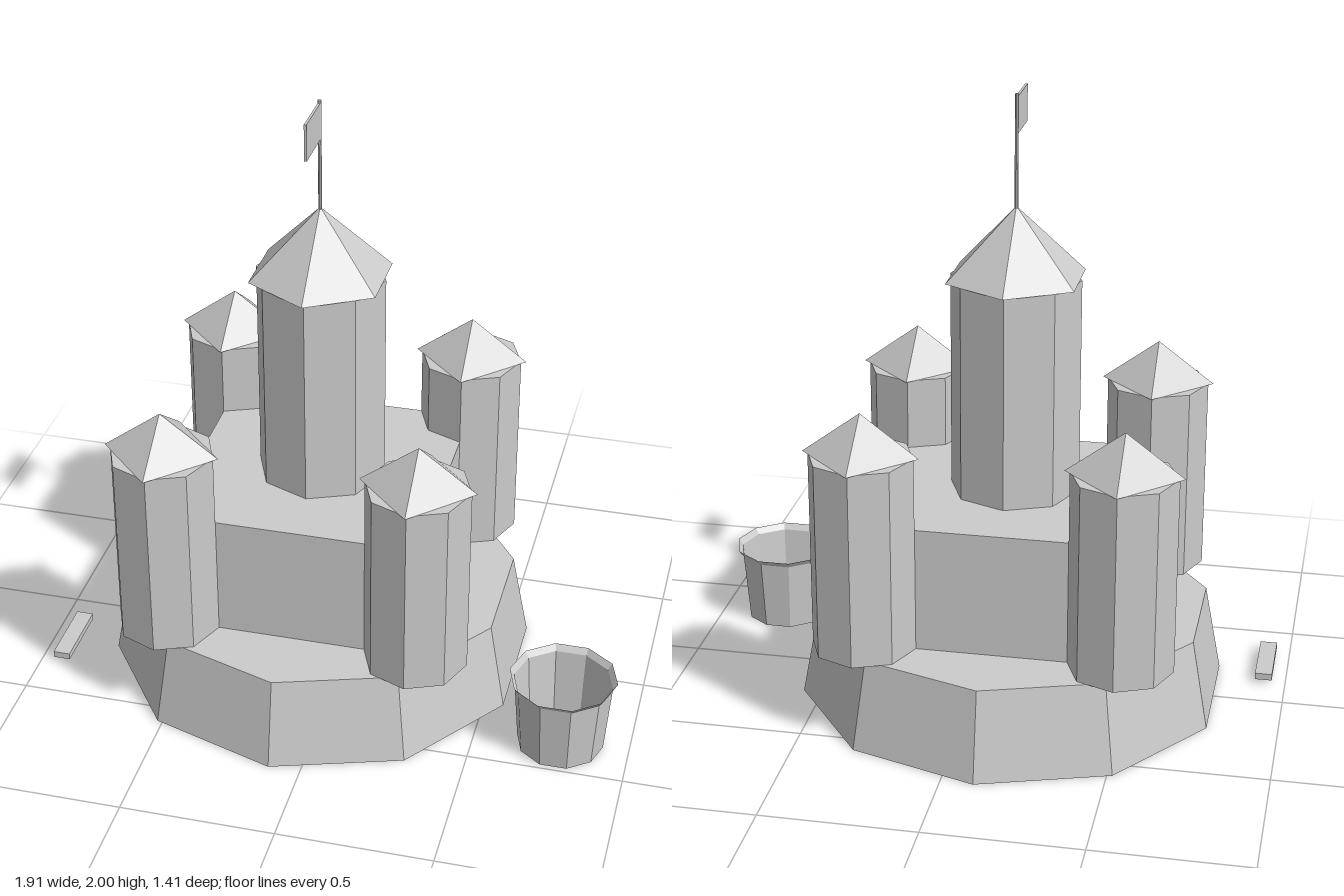
import * as THREE from 'three';

export function createModel() {
  const model = new THREE.Group();
  model.name = 'sandcastleScene';

  const grey = new THREE.MeshStandardMaterial({ color: 0xcccccc, flatShading: true, side: THREE.DoubleSide });
  grey.name = 'plain grey';

  function add(parent, name, geometry, x, y, z) {
    const mesh = new THREE.Mesh(geometry, grey);
    mesh.name = name;
    mesh.position.set(x, y, z);
    parent.add(mesh);
    return mesh;
  }

  // Prism, frustum or cone standing between two heights
  function column(parent, name, rTop, rBottom, y0, y1, sides, x = 0, z = 0) {
    const geometry = new THREE.CylinderGeometry(rTop, rBottom, y1 - y0, sides);
    return add(parent, name, geometry, x, (y0 + y1) / 2, z);
  }

  // Castle: ten-sided mound with a square keep on it
  const castle = new THREE.Group();
  castle.name = 'castle';
  castle.position.x = -0.104;
  model.add(castle);
  column(castle, 'mound', 0.647, 0.703, 0, 0.295, 10);
  add(castle, 'keep', new THREE.BoxGeometry(0.82, 0.41, 0.82), 0, 0.5, 0);

  // Octagonal corner towers with four-sided roofs
  for (const sx of [-1, 1]) {
    for (const sz of [-1, 1]) {
      const tower = new THREE.Group();
      tower.name = (sz > 0 ? 'front' : 'back') + (sx > 0 ? 'Left' : 'Right') + 'Tower';
      tower.position.set(sx * 0.41, 0, sz * 0.41);
      castle.add(tower);
      column(tower, 'towerWall', 0.168, 0.168, 0.295, 0.945, 8);
      column(tower, 'towerRoof', 0, 0.185, 0.945, 1.083, 4);
    }
  }

  // Central tower with a six-sided roof
  column(castle, 'centralTower', 0.21, 0.21, 0.705, 1.415, 8);
  column(castle, 'centralRoof', 0, 0.234, 1.415, 1.645, 6);

  // Flag flying toward the front
  column(castle, 'flagPole', 0.006, 0.006, 1.62, 2, 8);
  add(castle, 'flag', new THREE.BoxGeometry(0.008, 0.118, 0.165), 0, 1.933, 0.084);

  // Open thin-walled bucket with a flared lip
  const profile = [[0, 0], [0.14, 0], [0.159, 0.24], [0.174, 0.26]].map(([r, y]) => new THREE.Vector2(r, y));
  add(model, 'bucket', new THREE.LatheGeometry(profile, 10, Math.PI / 2), 0.776, 0, 0.35);

  // Small loose stick lying beside the castle
  add(model, 'stick', new THREE.BoxGeometry(0.056, 0.022, 0.234), -0.928, 0.027, 0.232);

  return model;
}
